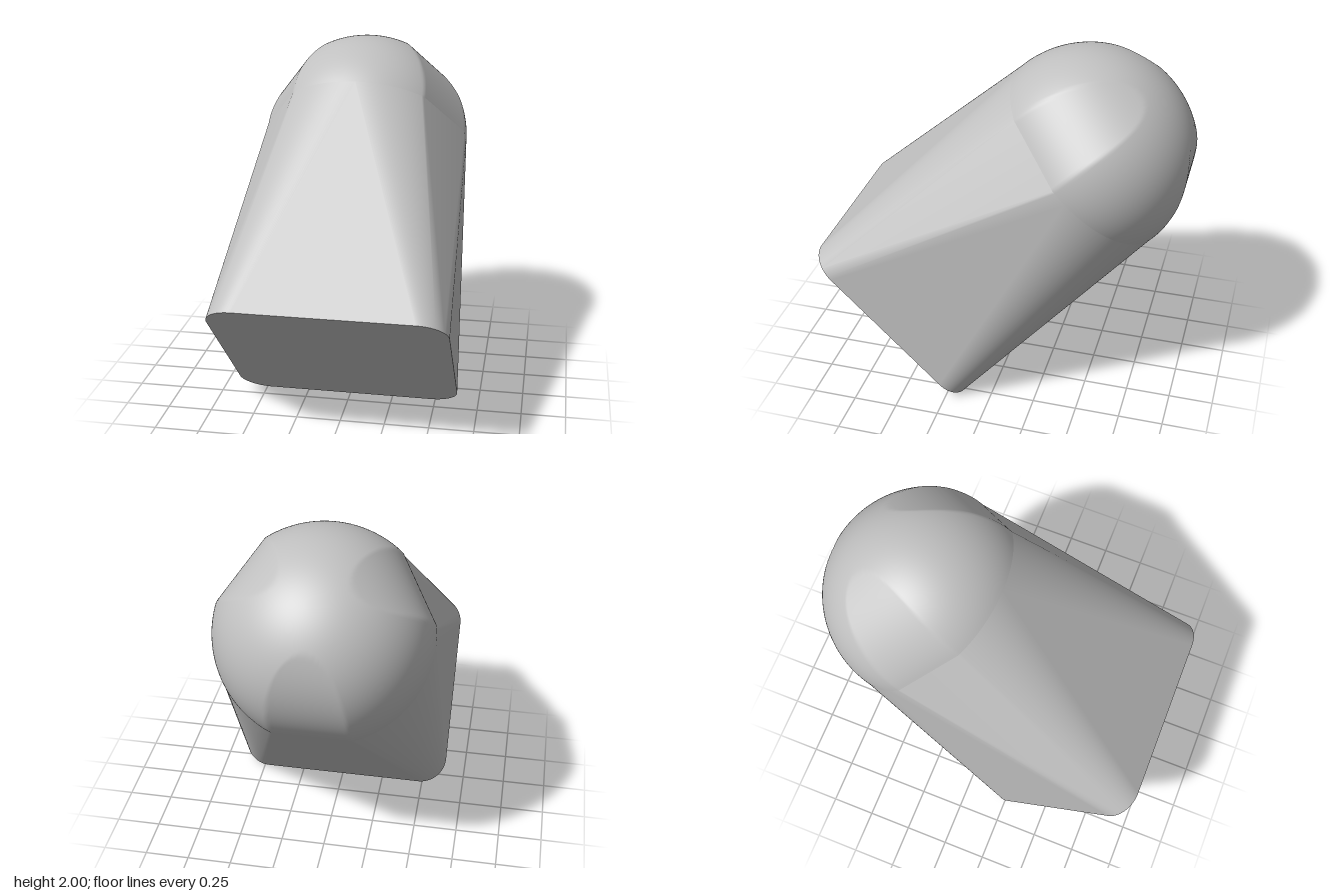
import * as THREE from 'three';
import { mergeVertices } from 'three/addons/utils/BufferGeometryUtils.js';

const RAD = Math.PI / 180;
const HALF_X = 0.635, HALF_Z = 0.595, CORNER = 0.16;   // rounded rectangular base
const R = 0.59, SPREAD = 21, LENGTH = 1.41, SHIFT = -0.01; // dome and its flats
const PANELS = [30, 150, 270];                          // directions of the three flats
const DEPTH = R * Math.cos(SPREAD * RAD);

// Smooth surface through rows of points, rows running upward
function skin(rows) {
  const pos = [], index = [], n = rows[0].length;
  rows.forEach((row) => row.forEach((p) => pos.push(...p)));
  for (let j = 0; j < rows.length - 1; j++) {
    for (let i = 0; i < n; i++) {
      const a = j * n + i, c = j * n + ((i + 1) % n);
      index.push(a, a + n, c, c, a + n, c + n);
    }
  }
  const g = new THREE.BufferGeometry();
  g.setAttribute('position', new THREE.Float32BufferAttribute(pos, 3));
  g.setIndex(index);
  const merged = mergeVertices(g, 1e-5);
  merged.computeVertexNormals();
  return merged;
}

// Signed angle between two directions in degrees
const angleDiff = (a, b) => ((((a - b) % 360) + 540) % 360) - 180;

// Point of the base outline whose outward normal has angle t
function basePoint(t) {
  const c = Math.cos(t * RAD), s = Math.sin(t * RAD);
  return [Math.sign(c) * (HALF_X - CORNER) + CORNER * c, 0,
    Math.sign(s) * (HALF_Z - CORNER) + CORNER * s];
}

// Point of the upper outline (circle with three flats) with the same normal
function rimPoint(t) {
  for (const p of PANELS) {
    const d = angleDiff(t, p);
    if (Math.abs(d) < SPREAD) t = p + Math.sign(d) * SPREAD;
  }
  return [R * Math.cos(t * RAD), LENGTH, R * Math.sin(t * RAD) + SHIFT];
}

// Dome point: a sphere trimmed by three panels that blend into it
function domePoint(az, el) {
  const h = Math.cos(el * RAD), y = Math.sin(el * RAD);
  let r = R;
  for (const p of PANELS) {
    const q = h * Math.cos((az - p) * RAD);
    if (q <= 0) continue;
    const k = Math.min(1, Math.atan2(y, q) / (67 * RAD));
    r = Math.min(r, (DEPTH + (R - DEPTH) * k ** 3) / Math.hypot(q, y));
  }
  return [r * h * Math.cos(az * RAD), LENGTH + r * y, r * h * Math.sin(az * RAD) + SHIFT];
}

export function createModel() {
  const grey = new THREE.MeshStandardMaterial({ color: 0xc0c0c0 });
  grey.name = 'light grey';
  const model = new THREE.Group();
  model.name = 'taperedBlock';
  const add = (name, geometry) => {
    const mesh = new THREE.Mesh(geometry, grey);
    mesh.name = name;
    model.add(mesh);
  };

  // Tapered body: points with matching normals are joined, flats get two points
  const angles = [];
  for (let t = -90; t < 270; t += 1.5) {
    if (t % 90 === 0 || PANELS.includes(t)) angles.push(t - 0.001, t + 0.001);
    else angles.push(t);
  }
  const base = angles.map(basePoint), rim = angles.map(rimPoint);
  add('body', skin([base, rim]));

  // Domed end
  const rows = [];
  for (let el = 0; el <= 90; el += 2) {
    const row = [];
    for (let az = -90; az < 270; az += 1.5) row.push(domePoint(az, el));
    rows.push(row);
  }
  add('dome', skin(rows));

  // Flat base
  const outline = new THREE.Shape(base.map((p) => new THREE.Vector2(p[0], -p[2])));
  const cap = new THREE.ShapeGeometry(outline);
  cap.rotateX(-Math.PI / 2);
  // turn the faces to look away from the body
  const idx = cap.index.array;
  for (let i = 0; i < idx.length; i += 3) [idx[i], idx[i + 1]] = [idx[i + 1], idx[i]];
  cap.computeVertexNormals();
  add('baseFace', cap);

  // Lean the whole body backward
  model.rotation.x = -Math.PI / 4;
  model.position.set(0, 0.42, 0.58);
  return model;
}
